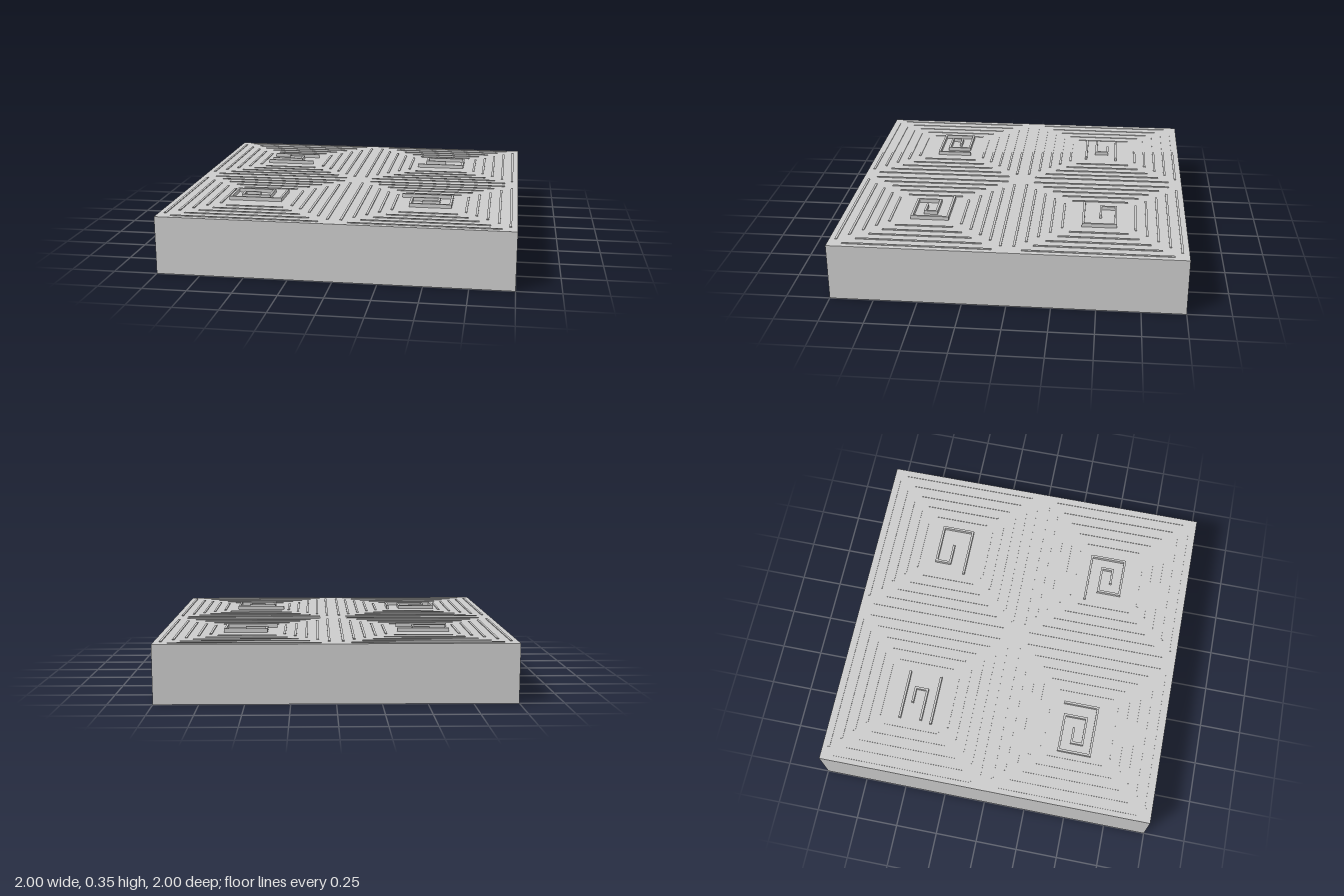
import * as THREE from 'three';

const TOP = 0.333;
const BAR = 0.013;
const material = new THREE.MeshStandardMaterial({ color: 0xcccccc, flatShading: true });

function addBox(parent, name, size, position) {
  const mesh = new THREE.Mesh(new THREE.BoxGeometry(...size), material);
  mesh.name = name;
  mesh.position.set(...position);
  parent.add(mesh);
}

// A raised bar along each leg of an axis-aligned path of [x, z] points.
function addPath(parent, name, points, height) {
  for (let i = 1; i < points.length; i++) {
    const [x0, z0] = points[i - 1];
    const [x1, z1] = points[i];
    addBox(parent, name,
      [Math.abs(x1 - x0) + BAR, height, Math.abs(z1 - z0) + BAR],
      [(x0 + x1) / 2, TOP + height / 2, (z0 + z1) / 2]);
  }
}

// Raised key patterns in the middle of each quarter.
const keys = {
  frontLeftKey: [[[0.327, 0.377], [0.618, 0.377], [0.618, 0.587], [0.387, 0.587],
    [0.387, 0.452], [0.546, 0.452], [0.546, 0.52], [0.458, 0.52]]],
  frontRightKey: [[[-0.373, 0.382], [-0.373, 0.583], [-0.672, 0.583], [-0.672, 0.393],
    [-0.451, 0.393], [-0.451, 0.527], [-0.613, 0.527], [-0.613, 0.461], [-0.527, 0.461]]],
  backLeftKey: [[[0.346, -0.408], [0.633, -0.408], [0.633, -0.595], [0.396, -0.595],
    [0.396, -0.507], [0.514, -0.507]]],
  backRightKey: [
    [[-0.655, -0.585], [-0.367, -0.585]],
    [[-0.66, -0.393], [-0.372, -0.393]],
    [[-0.648, -0.457], [-0.46, -0.457], [-0.46, -0.53], [-0.547, -0.53]],
  ],
};

export function createModel() {
  const model = new THREE.Group();
  model.name = 'carvedTile';

  addBox(model, 'slab', [2, TOP, 2], [0, TOP / 2, 0]);

  for (const [name, paths] of Object.entries(keys)) {
    const key = new THREE.Group();
    key.name = name;
    for (const path of paths) addPath(key, 'keyBar', path, 0.022);
    model.add(key);
  }

  // Very low nested ridges around each key, open at the corners.
  for (const cx of [-0.5, 0.5]) {
    for (const cz of [-0.5, 0.5]) {
      const ridges = new THREE.Group();
      ridges.name = 'nestedRidges';
      for (let i = 0; i < 5; i++) {
        const r = 0.21 + i * 0.063;
        const half = r - 0.05;
        for (const side of [-1, 1]) {
          addPath(ridges, 'ridge', [[cx - half, cz + side * r], [cx + half, cz + side * r]], 0.004);
          addPath(ridges, 'ridge', [[cx + side * r, cz - half], [cx + side * r, cz + half]], 0.004);
        }
      }
      model.add(ridges);
    }
  }
  return model;
}
